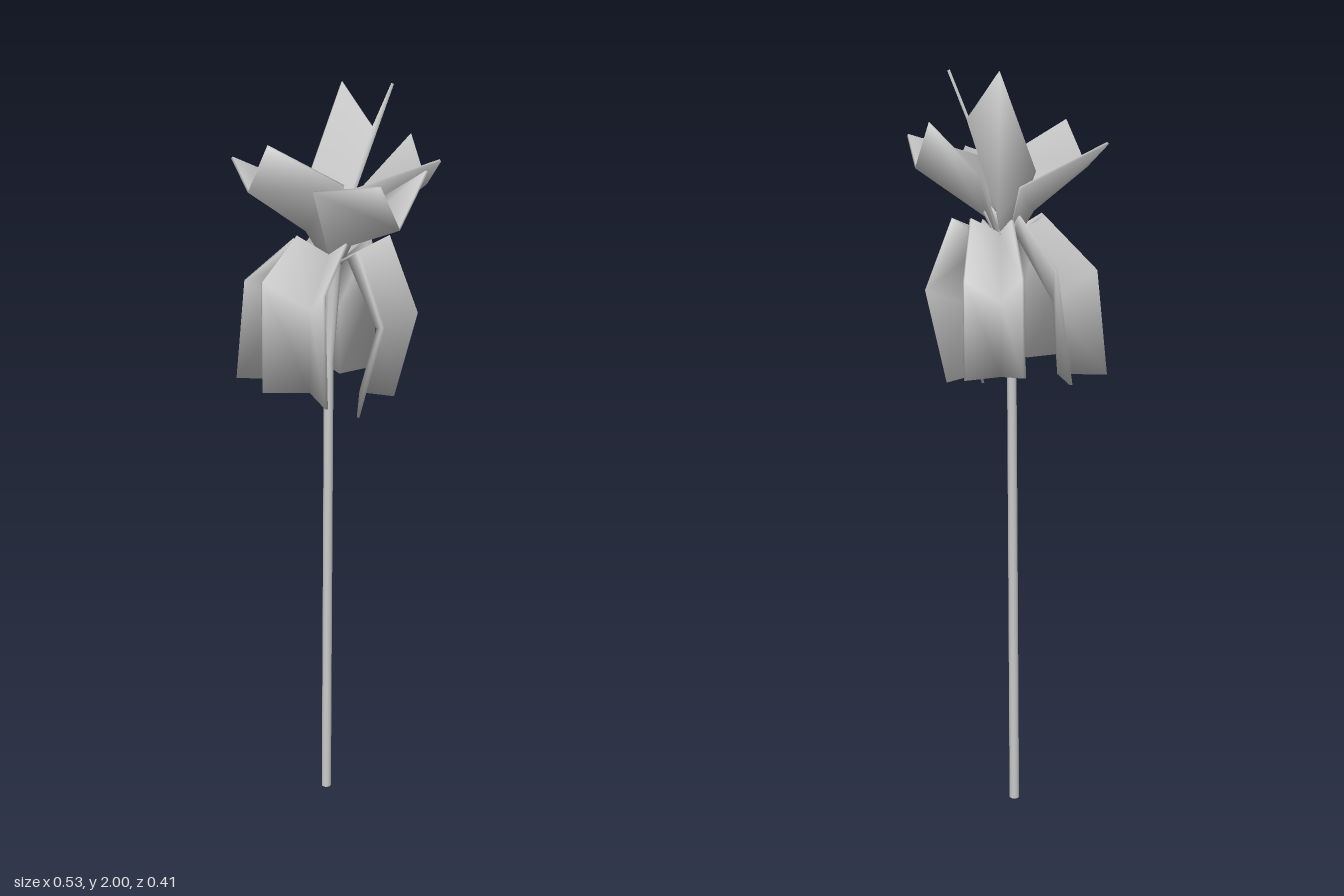
import * as THREE from 'three';

const grey = new THREE.MeshStandardMaterial({ color: 0xcccccc });
const THICKNESS = 0.007;

// Smooth normals weighted by corner angle, so thin rims round off the shading
function angleWeightedNormals(verts, faces) {
  const normals = verts.map(() => new THREE.Vector3());
  const tri = new THREE.Triangle(), normal = new THREE.Vector3();
  for (let f = 0; f < faces.length; f += 3) {
    const ids = faces.slice(f, f + 3);
    tri.set(...ids.map(i => verts[i])).getNormal(normal);
    ids.forEach((id, k) => {
      const u = verts[ids[(k + 1) % 3]].clone().sub(verts[id]);
      const v = verts[ids[(k + 2) % 3]].clone().sub(verts[id]);
      normals[id].addScaledVector(normal, u.angleTo(v));
    });
  }
  return normals.map(n => n.normalize());
}

// A petal is a thin V-folded shell: each row is [left edge, keel, right edge],
// starting from a small copy of the first row drawn in towards the throat
function petal(name, throatY, rows) {
  const throat = new THREE.Vector3(0, throatY, 0);
  const points = rows.map(row => row.map(p => new THREE.Vector3(...p)));
  points.unshift(points[0].map(p => throat.clone().lerp(p, 0.25)));
  const n = points.length, count = n * 3;
  const middle = points.flat();
  const idx = [];
  for (let i = 0; i < n - 1; i++) {
    for (let j = 0; j < 2; j++) {
      const a = i * 3 + j, b = a + 3;
      idx.push(a, a + 1, b, a + 1, b + 1, b);
    }
  }

  // Two faces, offset to either side of the middle surface
  const offsets = angleWeightedNormals(middle, idx);
  const face = sign => middle.map((p, i) => p.clone().addScaledVector(offsets[i], sign * THICKNESS / 2));
  const verts = [...face(1), ...face(-1)];
  const faces = [...idx, ...idx.map(i => i + count).reverse()];

  // Rim walls around the outline, sharing the corners of both faces
  const rim = [0, 1, 2];
  for (let i = 1; i < n; i++) rim.push(i * 3 + 2);
  rim.push(count - 2);
  for (let i = n - 1; i > 0; i--) rim.push(i * 3);
  rim.forEach((a, k) => {
    const b = rim[(k + 1) % rim.length];
    faces.push(a, a + count, b + count, a, b + count, b);
  });

  const geo = new THREE.BufferGeometry().setFromPoints(verts);
  geo.setIndex(faces);
  const normals = angleWeightedNormals(verts, faces).flatMap(v => v.toArray());
  geo.setAttribute('normal', new THREE.Float32BufferAttribute(normals, 3));
  const mesh = new THREE.Mesh(geo, grey);
  mesh.name = name;
  return mesh;
}

// Tapered rod between two points
function rod(name, from, to, r0, r1, sides = 10) {
  const a = new THREE.Vector3(...from), b = new THREE.Vector3(...to);
  const dir = b.clone().sub(a);
  const mesh = new THREE.Mesh(new THREE.CylinderGeometry(r1, r0, dir.length(), sides), grey);
  mesh.position.copy(a).add(b).multiplyScalar(0.5);
  mesh.quaternion.setFromUnitVectors(new THREE.Vector3(0, 1, 0), dir.normalize());
  mesh.name = name;
  return mesh;
}

export function createModel() {
  const group = new THREE.Group();
  group.name = 'flower';

  // Slightly leaning stem, thicker just under the bloom
  group.add(rod('stem', [-0.008, 0, 0.035], [-0.008, 1.3, 0.018], 0.014, 0.013));
  group.add(rod('stemNeck', [-0.008, 1.3, 0.018], [0, 1.6, 0], 0.013, 0.02));

  // Upright petals, rising from a narrow throat
  const upright = {
    backUpperPetal: [
      [[-0.078, 1.75, 0.02], [0, 1.63, -0.03], [0.07, 1.75, 0.03]],
      [[-0.08, 1.99, -0.155], [0, 1.88, -0.178], [0.07, 1.997, -0.155]]],
    frontRightUpperPetal: [
      [[-0.1, 1.71, -0.09], [-0.06, 1.65, 0.04], [0.04, 1.77, 0.02]],
      [[-0.25, 1.82, 0.09], [-0.15, 1.76, 0.16], [-0.08, 1.88, 0.173]]],
    frontLeftUpperPetal: [
      [[0.07, 1.71, -0.055], [0, 1.6, 0.03], [-0.01, 1.76, 0.08]],
      [[0.267, 1.83, 0.01], [0.235, 1.7, 0.08], [0.22, 1.81, 0.148]]],
    backLeftUpperPetal: [
      [[0.02, 1.74, -0.09], [0.04, 1.63, -0.02], [0.11, 1.78, 0.075]],
      [[0.1, 1.87, -0.2], [0.17, 1.76, -0.16], [0.255, 1.84, -0.075]]],
  };
  for (const [name, rows] of Object.entries(upright)) group.add(petal(name, 1.53, rows));

  // Drooping petals, arching outward and then hanging down
  const drooping = {
    frontLowerPetal: [
      [[0.08, 1.64, 0.07], [0, 1.59, 0.03], [-0.07, 1.64, 0.07]],
      [[0.095, 1.54, 0.195], [0.005, 1.47, 0.12], [-0.083, 1.55, 0.203]],
      [[0.1, 1.25, 0.193], [0, 1.25, 0.115], [-0.088, 1.26, 0.203]]],
    rightLowerPetal: [
      [[-0.08, 1.63, 0.07], [-0.03, 1.59, 0], [-0.09, 1.64, -0.08]],
      [[-0.235, 1.5, 0.07], [-0.14, 1.42, 0.01], [-0.205, 1.51, -0.088]],
      [[-0.263, 1.23, 0.078], [-0.15, 1.23, 0.02], [-0.237, 1.22, -0.065]]],
    backLowerPetal: [
      [[-0.07, 1.63, -0.08], [0, 1.59, -0.03], [0.05, 1.63, -0.09]],
      [[-0.14, 1.49, -0.14], [-0.05, 1.42, -0.1], [0, 1.48, -0.198]],
      [[-0.148, 1.24, -0.145], [-0.05, 1.23, -0.1], [-0.005, 1.23, -0.203]]],
    leftLowerPetal: [
      [[0.1, 1.63, -0.1], [0.03, 1.58, -0.01], [0.1, 1.62, 0.05]],
      [[0.187, 1.44, -0.1], [0.11, 1.4, -0.03], [0.18, 1.44, 0.06]],
      [[0.12, 1.2, -0.1], [0.06, 1.22, -0.03], [0.1, 1.18, 0.045]]],
  };
  for (const [name, rows] of Object.entries(drooping)) group.add(petal(name, 1.56, rows));

  // Fine stamens in the throat
  for (let i = 0; i < 3; i++) {
    const t = i * Math.PI * 2 / 3 + 0.5;
    group.add(rod('stamen', [0, 1.57, 0], [0.03 * Math.cos(t), 1.7, 0.03 * Math.sin(t)], 0.004, 0.003, 5));
  }
  return group;
}
